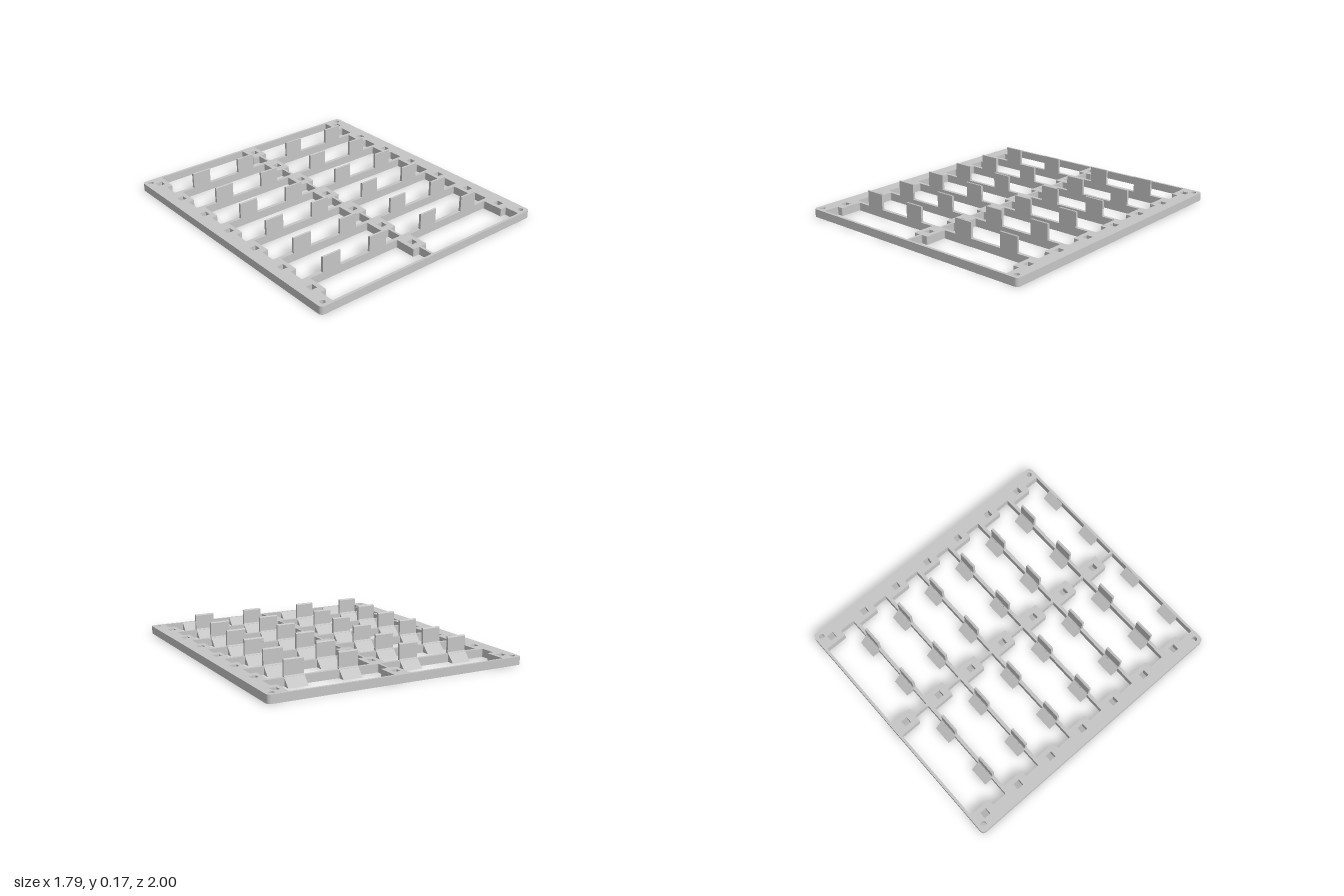
import * as THREE from 'three';

const HEIGHT = 0.055, HALF_W = 0.897, PITCH = 0.284, BAR = 0.024;
const PAD_LENGTH = 0.152, TAB_WIDTH = 0.135;
// front edge of crossbar i (-1 is the back rail, 6 the front rail)
const barFront = i => -0.698 + PITCH * i;

// Closed outline from [x, z] corners, with every corner eased by radius r
function outline(corners, r, PathType = THREE.Path) {
  const path = new PathType();
  const pts = corners.map(([x, z]) => new THREE.Vector2(x, -z));
  pts.forEach((p, i) => {
    const prev = pts[(i + pts.length - 1) % pts.length];
    const next = pts[(i + 1) % pts.length];
    const a = prev.clone().sub(p).setLength(r).add(p);
    const b = next.clone().sub(p).setLength(r).add(p);
    if (i === 0) path.moveTo(a.x, a.y); else path.lineTo(a.x, a.y);
    if (r > 0) path.quadraticCurveTo(p.x, p.y, b.x, b.y);
  });
  path.closePath();
  return path;
}

// Corners run anticlockwise when seen from above
const rect = (x0, z0, x1, z1) => [[x0, z0], [x0, z1], [x1, z1], [x1, z0]];

// Flat lattice: two columns of seven windows, with pads, peg holes and screw holes
function frameGeometry() {
  const shape = outline(rect(-HALF_W, -1, HALF_W, 1), 0.03, THREE.Shape);
  for (let row = 0; row < 7; row++) {
    const back = barFront(row - 1), front = barFront(row) - BAR;
    const pad = back + PAD_LENGTH;
    for (const s of [-1, 1]) {
      const corners = [
        [0.056, back], [0.755, back], [0.755, pad], [0.8, pad],
        [0.8, front], [0.008, front], [0.008, pad], [0.056, pad],
      ];
      shape.holes.push(outline(corners.map(([x, z]) => [s * x, z]), 0.008));
    }
    // square peg holes
    for (const x of [-0.808, 0, 0.808]) {
      shape.holes.push(outline(rect(x - 0.023, back + 0.055, x + 0.023, back + 0.102), 0));
    }
  }
  // round screw holes in the corners
  for (const x of [-0.853, 0.853]) for (const z of [-0.957, 0.957]) {
    shape.holes.push(new THREE.Path().absarc(x, -z, 0.019, 0, Math.PI * 2));
  }
  const geometry = new THREE.ExtrudeGeometry(shape, { depth: HEIGHT, bevelEnabled: false, curveSegments: 6 });
  return geometry.rotateX(-Math.PI / 2);
}

// Side profile in [z, y], extruded across the tab width and centred on x = 0
function tabGeometry(profile) {
  const shape = new THREE.Shape(profile.map(([z, y]) => new THREE.Vector2(-z, y)));
  const geometry = new THREE.ExtrudeGeometry(shape, { depth: TAB_WIDTH, bevelEnabled: false });
  return geometry.translate(0, 0, -TAB_WIDTH / 2).rotateY(Math.PI / 2);
}

export function createModel() {
  const group = new THREE.Group();
  const grey = new THREE.MeshStandardMaterial({ color: 0xc6c6c6 });
  grey.name = 'light grey';

  const add = (name, geometry, x = 0, z = 0) => {
    const mesh = new THREE.Mesh(geometry, grey);
    mesh.name = name;
    mesh.position.set(x, 0, z);
    group.add(mesh);
  };

  add('frame', frameGeometry());

  // upright with an eased top and a small fillet at its foot
  const upright = tabGeometry([
    [0, HEIGHT], [0, 0.162], [-0.003, 0.165], [-0.01, 0.164],
    [-0.017, 0.158], [-0.017, 0.063], [-0.023, HEIGHT],
  ]);
  // ramp falling from the top of the bar to its underside
  const ramp = tabGeometry([[-0.023, 0], [-0.023, HEIGHT], [-0.078, 0]]);

  for (let i = 0; i < 7; i++) {
    for (const x of [-0.591, -0.219, 0.218, 0.59]) {
      add('ramp', ramp, x, barFront(i));
      if (i < 6) add('uprightTab', upright, x, barFront(i));
    }
  }
  return group;
}
